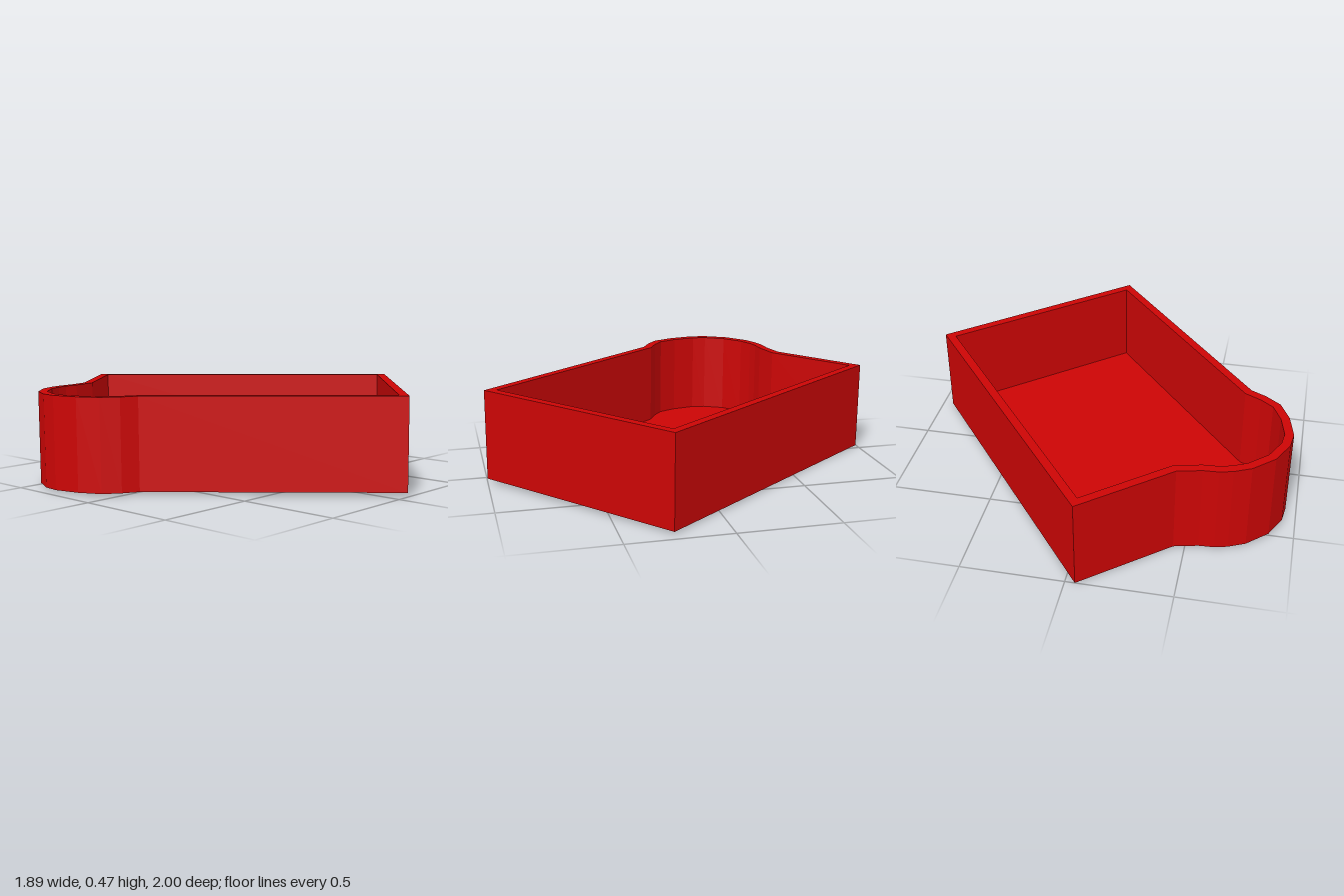
import * as THREE from 'three';

const HEIGHT = 0.45, FLOOR = 0.025, WALL = 0.043;

// Plan outline as [x, z]: a rectangle with a rounded bay on one corner
const OUTLINE = [
  [-0.047, -1], [0.943, 0.264], [0.073, 1], [-0.72, 0.04],
  [-0.796, 0], [-0.87, -0.058], [-0.92, -0.165], [-0.948, -0.297],
  [-0.937, -0.382], [-0.88, -0.497], [-0.78, -0.588], [-0.7, -0.625],
  [-0.637, -0.641], [-0.563, -0.645], [-0.447, -0.672],
].map(([x, z]) => new THREE.Vector2(x, -z));

// Mitred inward offset of a clockwise outline
function inset(points, distance) {
  const n = points.length;
  const normal = (a, b) => {
    const d = b.clone().sub(a).normalize();
    return new THREE.Vector2(d.y, -d.x);
  };
  return points.map((p, i) => {
    const n1 = normal(points[(i + n - 1) % n], p);
    const n2 = normal(p, points[(i + 1) % n]);
    const mitre = n1.clone().add(n2).multiplyScalar(distance / (1 + n1.dot(n2)));
    return p.clone().add(mitre);
  });
}

function extrudeUp(shape, depth) {
  return new THREE.ExtrudeGeometry(shape, { depth, bevelEnabled: false }).rotateX(-Math.PI / 2);
}

export function createModel() {
  const model = new THREE.Group();
  model.name = 'openTray';
  const red = new THREE.MeshStandardMaterial({ color: 0xcc0505 });
  const inner = inset(OUTLINE, WALL);

  // Upright rim following the outline; the hole runs the opposite way round
  const wallShape = new THREE.Shape(OUTLINE);
  wallShape.holes.push(new THREE.Path([...inner].reverse()));
  const wall = new THREE.Mesh(extrudeUp(wallShape, HEIGHT), red);
  wall.name = 'wall';

  // Thin floor closing the bottom
  const floor = new THREE.Mesh(extrudeUp(new THREE.Shape(inner), FLOOR), red);
  floor.name = 'floor';

  // The tray rests at a very slight tilt
  const tray = new THREE.Group();
  tray.name = 'tray';
  tray.add(wall, floor);
  tray.rotation.set(-0.01, 0, -0.002);
  tray.position.y = 0.0105;
  model.add(tray);
  return model;
}
